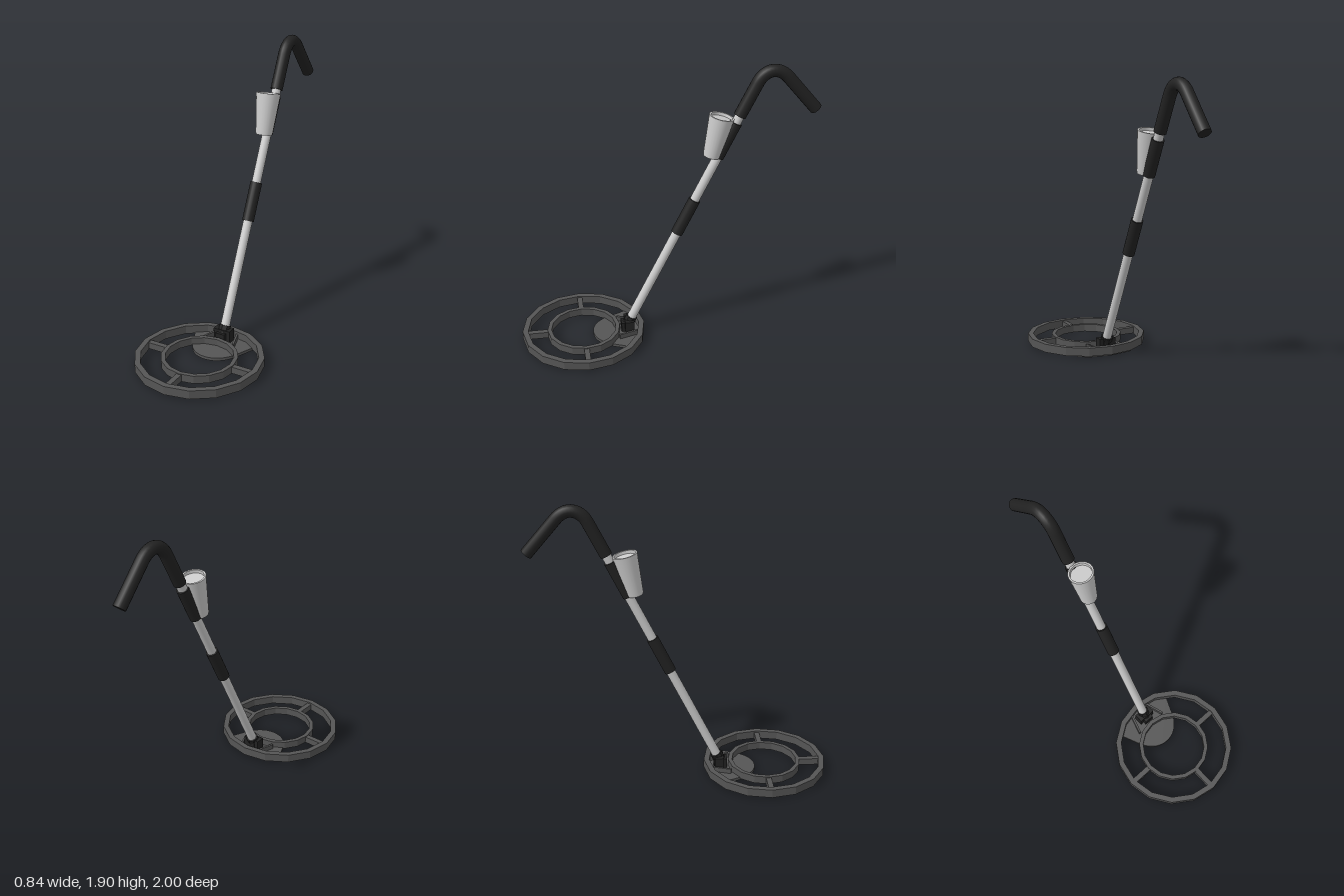
import * as THREE from 'three';

const grey = new THREE.MeshStandardMaterial({ color: 0xcccccc });
const black = new THREE.MeshStandardMaterial({ color: 0x222222 });
const dark = new THREE.MeshStandardMaterial({ color: 0x555555, flatShading: true });
const darkBlack = new THREE.MeshStandardMaterial({ color: 0x222222, flatShading: true });

const COIL_Z = 0.58;

function add(parent, name, geometry, material) {
  const mesh = new THREE.Mesh(geometry, material);
  mesh.name = name;
  parent.add(mesh);
  return mesh;
}

// Corners of a regular polygon, used for the faceted rings
function polygon(radius, sides) {
  return Array.from({ length: sides }, (_, i) => {
    const a = (i / sides) * Math.PI * 2;
    return new THREE.Vector2(Math.cos(a) * radius, Math.sin(a) * radius);
  });
}

// Flat shape (x, back) raised from y0 to y1
function slab(shape, y0, y1) {
  const g = new THREE.ExtrudeGeometry(shape, { depth: y1 - y0, bevelEnabled: false });
  return g.rotateX(-Math.PI / 2).translate(0, y0, 0);
}

function ring(outer, inner, y0, y1) {
  const shape = new THREE.Shape(polygon(outer, 16));
  shape.holes.push(new THREE.Path(polygon(inner, 16)));
  return slab(shape, y0, y1);
}

// Point on the pole's axis at a given height
const polePoint = (y) => new THREE.Vector3(0, y, 0.304 - 0.493 * y);

// Cylinder along the pole between two heights
function poleSection(parent, name, y0, y1, radius, material, sides = 20) {
  const a = polePoint(y0), b = polePoint(y1);
  const mesh = add(parent, name, new THREE.CylinderGeometry(radius, radius, a.distanceTo(b), sides), material);
  mesh.position.copy(a).add(b).multiplyScalar(0.5);
  mesh.quaternion.setFromUnitVectors(new THREE.Vector3(0, 1, 0), b.sub(a).normalize());
  return mesh;
}

function createCoil() {
  const coil = new THREE.Group();
  coil.name = 'searchCoil';
  coil.position.z = COIL_Z;
  add(coil, 'outerRing', ring(0.42, 0.382, 0.012, 0.07), dark);
  add(coil, 'innerRing', ring(0.25, 0.222, 0.012, 0.065), dark);

  // Spokes to the left, front and right
  [0, 1, 2].forEach((i) => {
    const spoke = new THREE.BoxGeometry(0.15, 0.045, 0.036).translate(0.313, 0.037, 0);
    add(coil, 'spoke', spoke.rotateY(-i * Math.PI / 2), dark);
  });

  // Base plate under the rear of the rings
  const plate = new THREE.Shape();
  plate.moveTo(-0.225, 0.32);
  plate.lineTo(-0.16, 0.17);
  plate.quadraticCurveTo(-0.1, 0.065, 0, 0.065);
  plate.quadraticCurveTo(0.1, 0.065, 0.16, 0.17);
  plate.lineTo(0.225, 0.32);
  plate.lineTo(0.155, 0.373);
  plate.lineTo(0, 0.4);
  plate.lineTo(-0.155, 0.373);
  add(coil, 'basePlate', slab(plate, 0, 0.02), dark);

  // Slanted ribs either side of the pole mount
  for (const s of [-1, 1]) {
    const rib = add(coil, 'mountRib', new THREE.BoxGeometry(0.014, 0.04, 0.145), dark);
    rib.position.set(s * 0.09, 0.034, -0.308);
    rib.rotation.y = s * 0.3;
  }
  return coil;
}

export function createModel() {
  const model = new THREE.Group();
  model.name = 'metalDetector';
  model.add(createCoil());

  // Hinge block and collar holding the pole
  const hinge = add(model, 'hingeBlock', new THREE.BoxGeometry(0.12, 0.088, 0.062), darkBlack);
  hinge.position.set(0, 0.062, 0.265);
  const base = add(model, 'hingePost', new THREE.BoxGeometry(0.066, 0.075, 0.09), darkBlack);
  base.position.set(0, 0.05, 0.275);
  poleSection(model, 'poleCollar', 0.06, 0.12, 0.041, darkBlack, 8);

  // Pole with its sleeves
  poleSection(model, 'pole', 0.08, 1.6, 0.031, grey);
  poleSection(model, 'lowerSleeve', 0.758, 0.995, 0.04, black);
  poleSection(model, 'upperSleeve', 1.295, 1.525, 0.04, black);

  // Hooked handle: straight, rounded bend, straight
  const start = polePoint(1.57);
  const p = (y, z) => new THREE.Vector3(0, y, z);
  const path = new THREE.CurvePath();
  path.add(new THREE.LineCurve3(start, p(1.785, -0.578)));
  path.add(new THREE.CubicBezierCurve3(p(1.785, -0.578), p(1.86, -0.615), p(1.895, -0.7), p(1.81, -0.775)));
  path.add(new THREE.LineCurve3(p(1.81, -0.775), p(1.588, -0.968)));
  add(model, 'handle', new THREE.TubeGeometry(path, 40, 0.041, 16), black);
  [0, 1].forEach((t) => {
    const cap = add(model, 'handleEnd', new THREE.CircleGeometry(0.041, 16), black);
    const dir = path.getTangentAt(t).multiplyScalar(t ? 1 : -1);
    cap.position.copy(path.getPointAt(t));
    cap.quaternion.setFromUnitVectors(new THREE.Vector3(0, 0, 1), dir);
  });

  // Tapered control housing with a shallow recessed top
  const housing = new THREE.Group();
  housing.name = 'controlHousing';
  housing.position.set(0, 1.302, -0.293);
  housing.rotation.x = -0.22;
  const bands = [
    [[0, 0], [0.054, 0]],
    [[0.054, 0], [0.057, 0.012], [0.082, 0.278]],
    [[0.082, 0.278], [0.07, 0.278]],
    [[0.07, 0.278], [0.068, 0.258]],
    [[0.068, 0.258], [0, 0.258]],
  ];
  for (const band of bands) {
    const points = band.map(([r, y]) => new THREE.Vector2(r, y));
    add(housing, 'housingShell', new THREE.LatheGeometry(points, 24), grey);
  }
  model.add(housing);

  return model;
}
